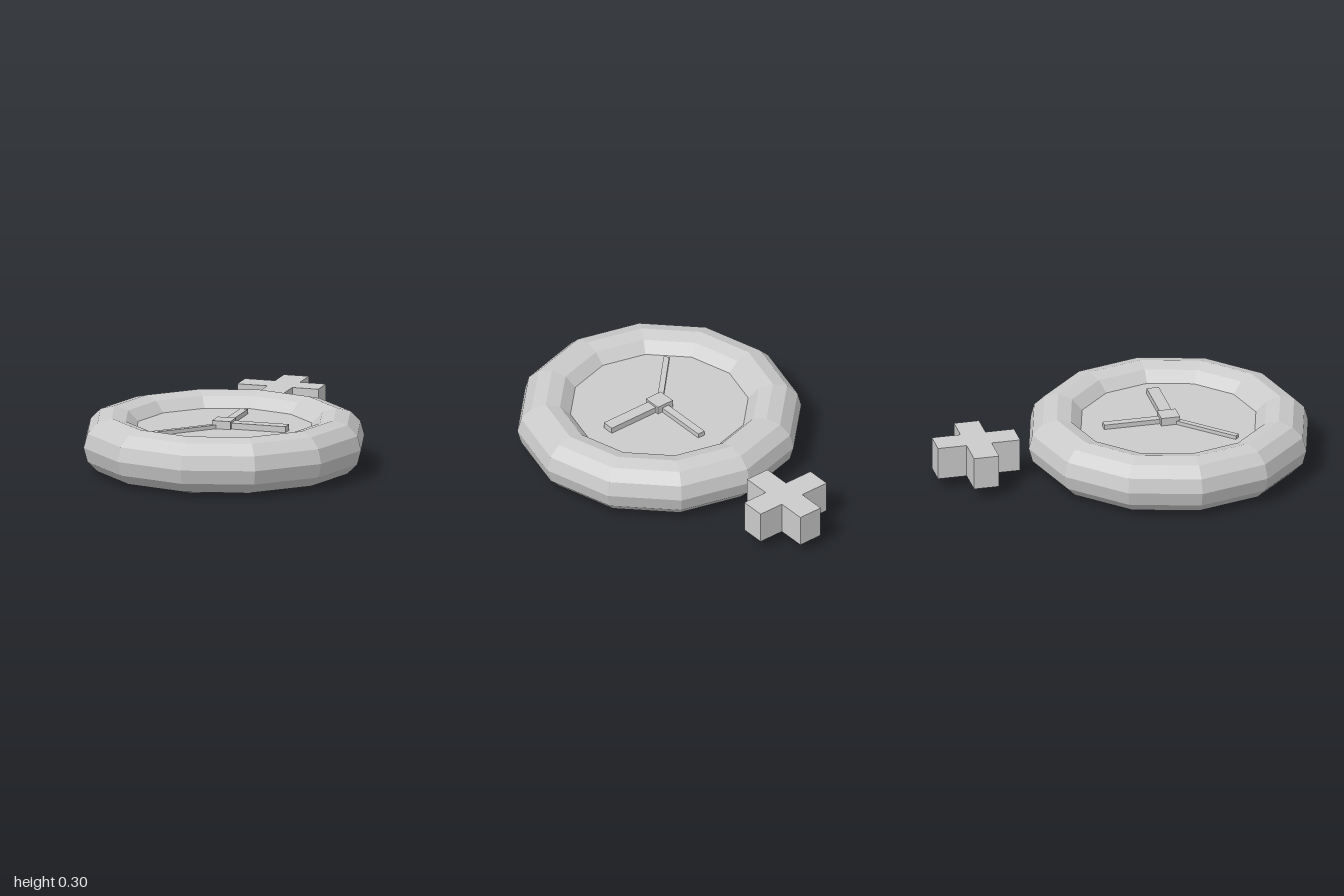
import * as THREE from 'three';

const CENTER_Z = 0.25, MID_Y = 0.15;

function createMaterial() {
  return new THREE.MeshStandardMaterial({ color: 0xcccccc, flatShading: true });
}

export function createModel() {
  const model = new THREE.Group();
  const material = createMaterial();

  const add = (name, geometry, parent, x = 0, y = 0, z = 0) => {
    const mesh = new THREE.Mesh(geometry, material);
    mesh.name = name;
    mesh.position.set(x, y, z);
    parent.add(mesh);
    return mesh;
  };

  // Watch body, centred on the dial
  const watch = new THREE.Group();
  watch.name = 'watch';
  watch.position.set(0, MID_Y, CENTER_Z);
  model.add(watch);

  // Faceted round case and the dial plate filling it
  add('caseRing', new THREE.TorusGeometry(0.598, 0.15, 12, 12).rotateX(Math.PI / 2), watch);
  add('dial', new THREE.CylinderGeometry(0.475, 0.475, 0.15, 12), watch);

  // Hub and hands pass right through the dial and show on both sides
  add('hub', new THREE.BoxGeometry(0.1, 0.235, 0.1), watch);
  const hands = [
    // name, length, width, height, angle from +x towards -z
    ['hourHand', 0.345, 0.065, 0.214, 0],
    ['minuteHand', 0.348, 0.042, 0.2, Math.PI / 2],
    ['secondHand', 0.415, 0.03, 0.19, Math.PI * 1.255],
  ];
  for (const [name, length, width, height, angle] of hands) {
    const geometry = new THREE.BoxGeometry(length, height, width).translate(length / 2, 0, 0);
    add(name, geometry, watch).rotation.y = angle;
  }

  // Cross-shaped crown behind the case, drawn in plan (shape y is -z)
  const w = 0.068, left = -0.232, right = 0.21, near = 0.56, far = 1, armNear = 0.713, armFar = 0.847;
  const cross = new THREE.Shape([
    [-w, near], [w, near], [w, armNear], [right, armNear], [right, armFar], [w, armFar],
    [w, far], [-w, far], [-w, armFar], [left, armFar], [left, armNear], [-w, armNear],
  ].map(([x, y]) => new THREE.Vector2(x, y)));
  const crown = new THREE.ExtrudeGeometry(cross, { depth: 0.175, bevelEnabled: false });
  add('crown', crown.rotateX(-Math.PI / 2), model, 0, 0.064, 0);

  return model;
}
